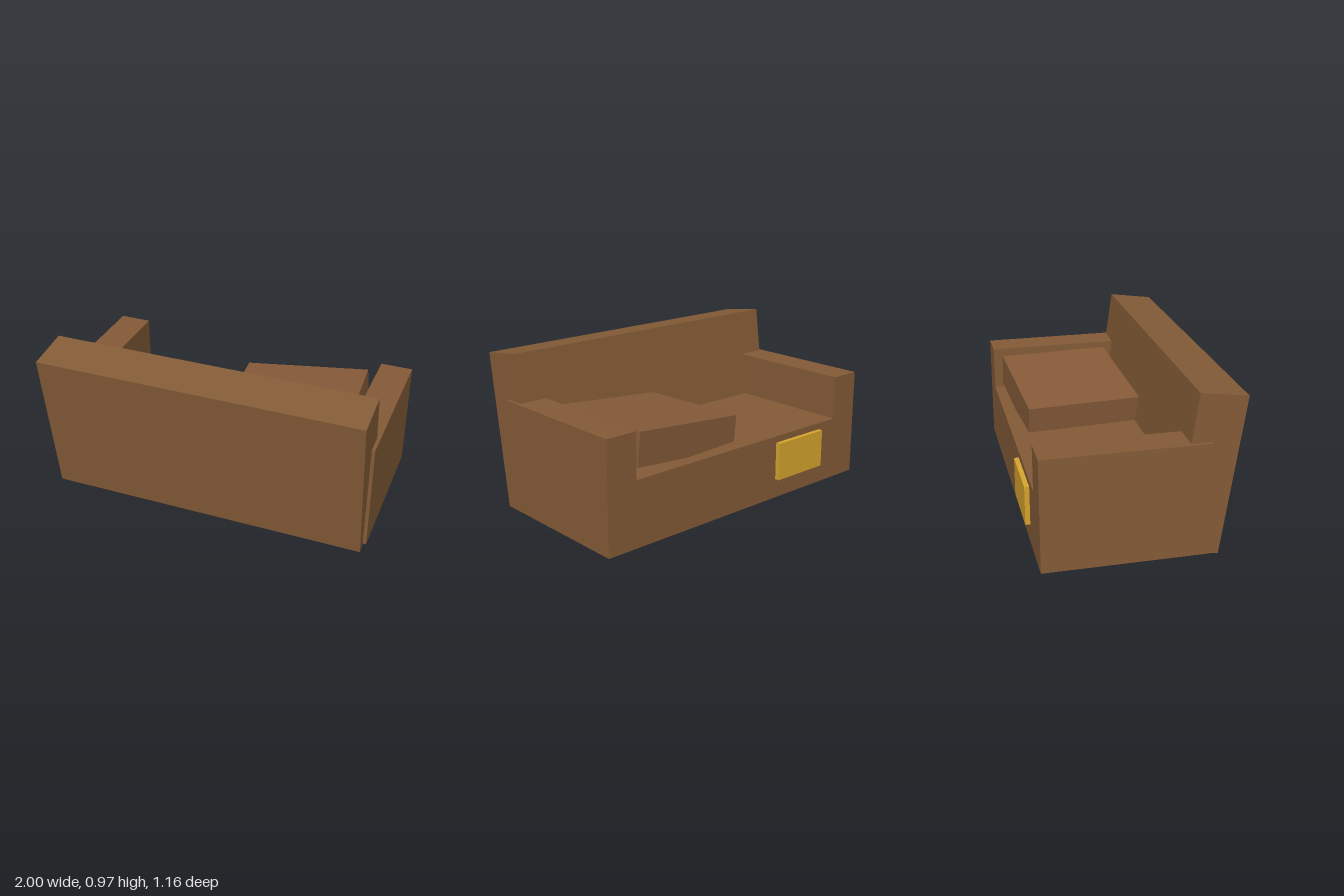
import * as THREE from 'three';

export function createModel() {
  const group = new THREE.Group();
  const mat = (name, color) => {
    const m = new THREE.MeshStandardMaterial({ color });
    m.name = name;
    return m;
  };
  const brown = mat('brown upholstery', 0x855c37);
  const cushionBrown = mat('cushion brown', 0x875b3a);
  const gold = mat('gold', 0xd8a62e);

  const add = (name, geometry, material, pos = [0, 0, 0], rot = [0, 0, 0]) => {
    const mesh = new THREE.Mesh(geometry, material);
    mesh.name = name;
    mesh.position.set(...pos);
    mesh.rotation.set(...rot.map(THREE.MathUtils.degToRad));
    group.add(mesh);
    return mesh;
  };

  // Base and both arms: one U-shaped profile, extruded front to back
  const inner = 0.805, bottom = 0.02, seat = 0.415, armTop = 0.686;
  const profile = new THREE.Shape([
    [-1, bottom], [1, bottom], [1, armTop], [inner, armTop],
    [inner, seat], [-inner, seat], [-inner, armTop], [-1, armTop],
  ].map(([x, y]) => new THREE.Vector2(x, y)));
  add('seatAndArms', new THREE.ExtrudeGeometry(profile, { depth: 0.94, bevelEnabled: false }), brown, [0, 0, -0.55]);

  // Leaning backrest, reaching just below the base
  add('backrest', new THREE.BoxGeometry(1.96, 0.939, 0.273), brown, [0, 0.486, 0.38], [8, 0, 0]);

  // Loose cushion, tilted and partly sunk into the seat
  add('cushion', new THREE.BoxGeometry(0.78, 0.2, 0.702), cushionBrown, [0.383, 0.515, -0.123], [0, 4, 6]);

  // Plate on the seat's front panel
  add('plate', new THREE.BoxGeometry(0.39, 0.234, 0.04), gold, [-0.473, 0.257, -0.558]);

  return group;
}
